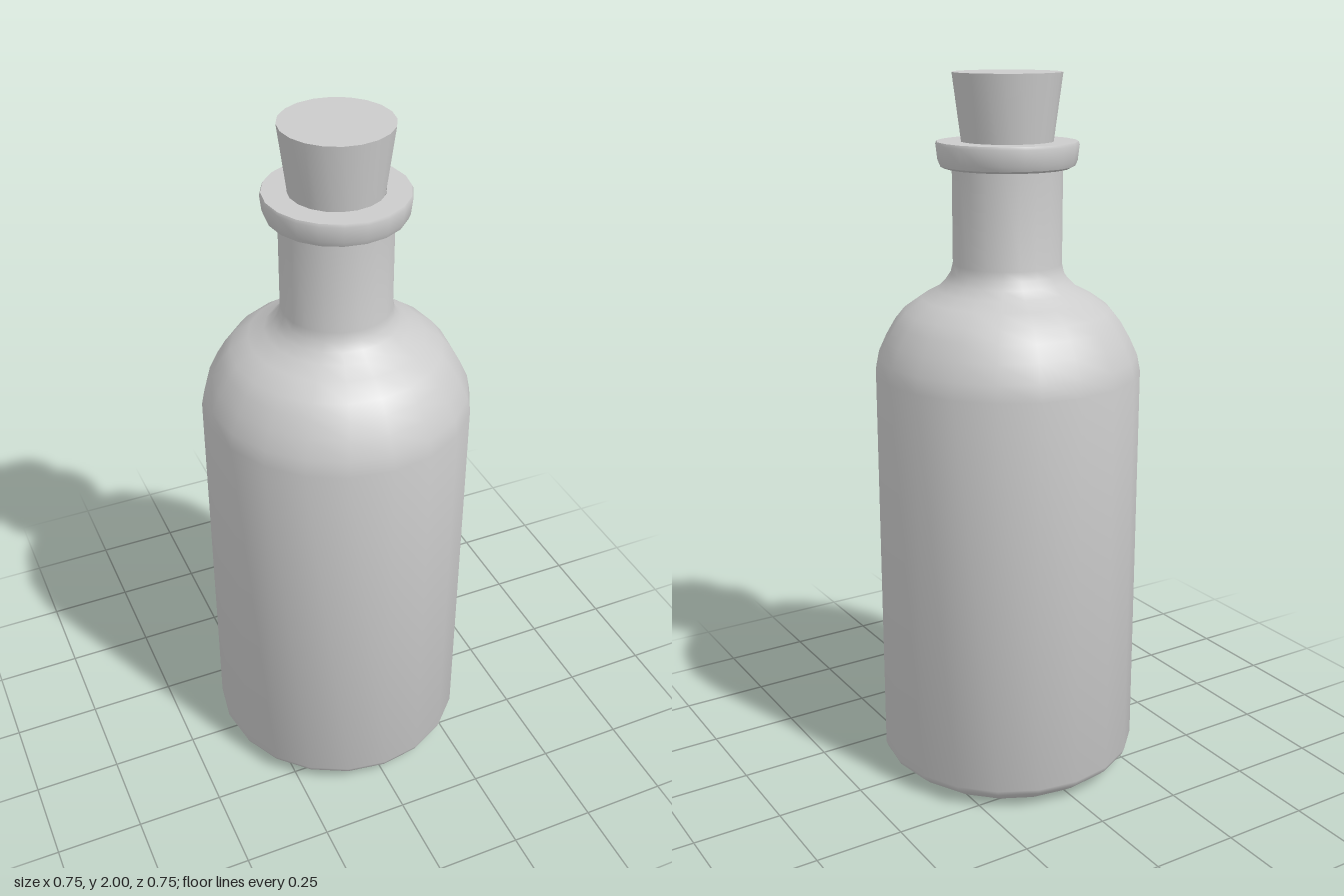
import * as THREE from 'three';
import { toCreasedNormals } from 'three/addons/utils/BufferGeometryUtils.js';

const SIDES = 20;

// Revolve a [radius, height] profile, keeping strong edges sharp
function turned(name, profile) {
  const points = profile.map(([r, y]) => new THREE.Vector2(r, y));
  const geometry = toCreasedNormals(new THREE.LatheGeometry(points, SIDES), 0.7);
  const mesh = new THREE.Mesh(geometry, new THREE.MeshStandardMaterial({ color: 0xcccccc }));
  mesh.name = name;
  return mesh;
}

export function createModel() {
  const group = new THREE.Group();
  group.name = 'corkedBottle';

  // Hollowed base, straight wall, round shoulder and neck
  group.add(turned('bottleBody', [
    [0, 0.07], [0.12, 0.06], [0.22, 0.035], [0.295, 0.002], [0.31, 0],
    [0.345, 0.025], [0.367, 0.045], [0.373, 0.06],
    [0.373, 1.19], [0.364, 1.235], [0.341, 1.285], [0.315, 1.33], [0.288, 1.363],
    [0.24, 1.397], [0.195, 1.42], [0.172, 1.443], [0.157, 1.465], [0.151, 1.49],
    [0.151, 1.76],
  ]));

  // Lip with a rounded lower edge and an opening for the stopper
  group.add(turned('lip', [
    [0.149, 1.75], [0.172, 1.75], [0.184, 1.756], [0.19, 1.77],
    [0.195, 1.812], [0.192, 1.82], [0.127, 1.82], [0.12, 1.74],
  ]));

  // Tapered stopper
  group.add(turned('cork', [
    [0, 1.72], [0.112, 1.72], [0.149, 2], [0, 2],
  ]));

  return group;
}
